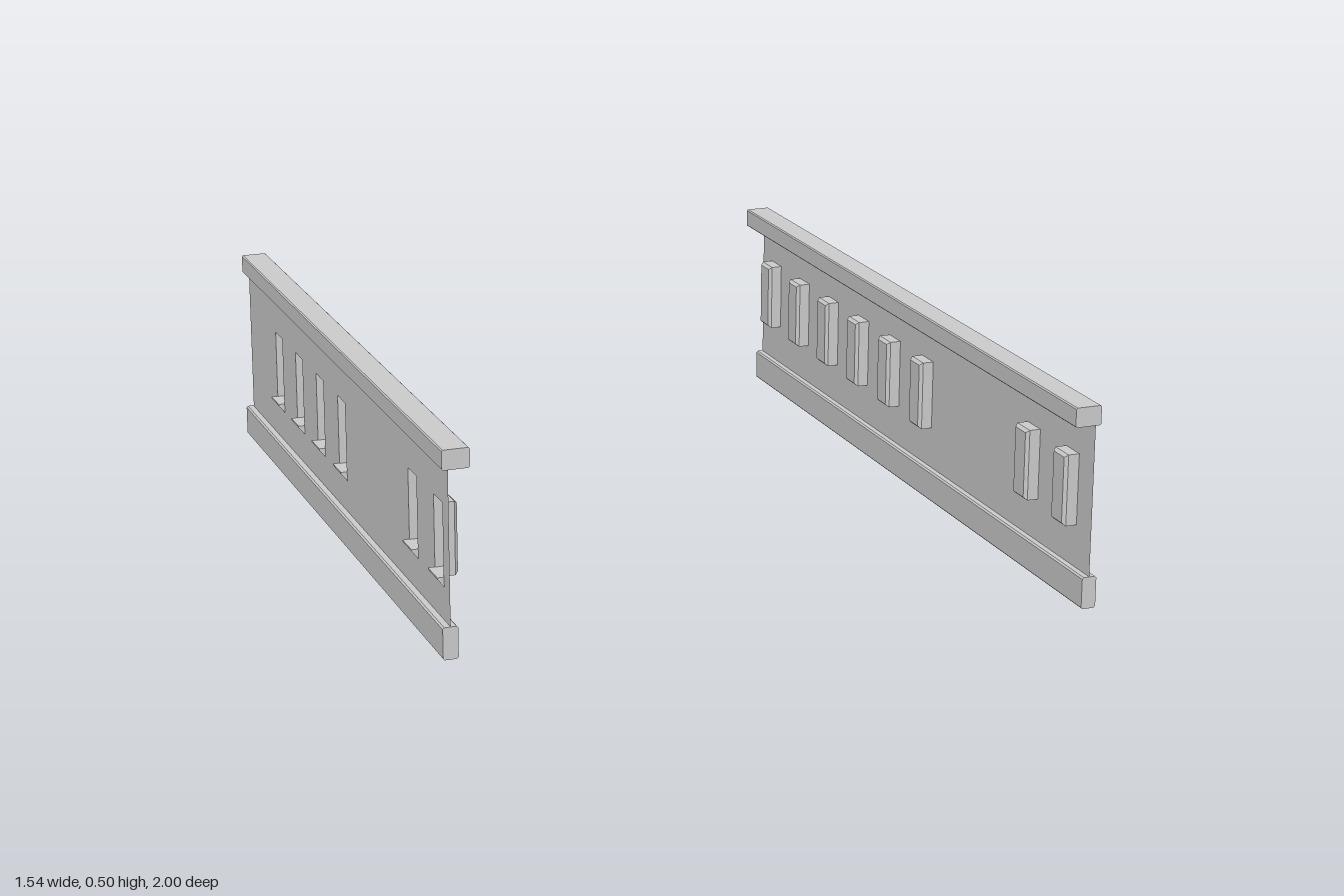
import * as THREE from 'three';

const grey = new THREE.MeshStandardMaterial({ color: 0xcccccc, flatShading: true });
const sheet = new THREE.MeshStandardMaterial({ color: 0xcccccc, flatShading: true, side: THREE.DoubleSide });

const WEB_X = 0.749;
const SLOT = { half: 0.033, y0: 0.184, y1: 0.361 };

function add(group, name, geometry, material) {
  const mesh = new THREE.Mesh(geometry, material);
  mesh.name = name;
  group.add(mesh);
}

// Extrude an (x, y) outline from z0 to z1
function bar(points, z0, z1) {
  const shape = new THREE.Shape(points.map(([x, y]) => new THREE.Vector2(x, y)));
  return new THREE.ExtrudeGeometry(shape, { depth: z1 - z0, bevelEnabled: false }).translate(0, 0, z0);
}

// Rectangle outline with small cut corners, on the given side
function cutRect(side, x0, x1, y0, y1, c) {
  return [[x0 + c, y0], [x1 - c, y0], [x1, y0 + c], [x1, y1 - c],
    [x1 - c, y1], [x0 + c, y1], [x0, y1 - c], [x0, y0 + c]].map(([x, y]) => [x * side, y]);
}

// Thin sheet with a rectangular hole for every slot
function webGeometry(side, z0, z1, slots) {
  const rect = (C, a, b, c, d) => new C([[a, c], [b, c], [b, d], [a, d]].map(p => new THREE.Vector2(...p)));
  const shape = rect(THREE.Shape, z0, z1, 0.06, 0.47);
  for (const z of slots) {
    shape.holes.push(rect(THREE.Path, z - SLOT.half, z + SLOT.half, SLOT.y0, SLOT.y1));
  }
  return new THREE.ShapeGeometry(shape).rotateY(-Math.PI / 2).translate(WEB_X * side, 0, 0);
}

// Tray pressed inwards, open to the outside, with a bevelled floor
function pocketGeometry(side, z) {
  const ring = (x, inset) => {
    const a = z - SLOT.half + inset, b = z + SLOT.half - inset;
    const c = SLOT.y0 + inset, d = SLOT.y1 - inset;
    return [[a, c], [b, c], [b, d], [a, d]].map(([pz, py]) => [x * side, py, pz]);
  };
  const rings = [ring(WEB_X, 0), ring(0.721, 0), ring(0.713, 0.007)];
  const pos = [];
  const quad = (a, b, c, d) => {
    const order = side > 0 ? [a, b, c, a, c, d] : [a, c, b, a, d, c];
    order.forEach(p => pos.push(...p));
  };
  for (let r = 0; r < 2; r++) {
    for (let i = 0; i < 4; i++) {
      const j = (i + 1) % 4;
      quad(rings[r][i], rings[r + 1][i], rings[r + 1][j], rings[r][j]);
    }
  }
  quad(...rings[2]);
  const geometry = new THREE.BufferGeometry();
  geometry.setAttribute('position', new THREE.Float32BufferAttribute(pos, 3));
  geometry.computeVertexNormals();
  return geometry;
}

// One side panel: two rails, the web and its slots
function panel(name, side, front, backs, slots) {
  const group = new THREE.Group();
  group.name = name;
  add(group, 'topRail', bar(cutRect(side, 0.697, 0.763, 0.452, 0.5, 0.003), backs.top, front), grey);
  add(group, 'bottomRail', bar(cutRect(side, 0.731, 0.768, 0, 0.079, 0.004), backs.bottom, front), grey);
  add(group, 'web', webGeometry(side, backs.web, front, slots), sheet);
  for (const z of slots) {
    add(group, 'slotPocket', pocketGeometry(side, z), sheet);
    // Wedge-shaped shelf under the slot
    const wedge = [[WEB_X, 0.16], [WEB_X + 0.016, 0.18], [WEB_X + 0.016, 0.184], [WEB_X, 0.184]];
    add(group, 'slotLip', bar(wedge.map(([x, y]) => [x * side, y]), z - 0.036, z + 0.036), grey);
  }
  return group;
}

export function createModel() {
  const model = new THREE.Group();
  model.name = 'sidePanels';
  // Evenly pitched slots with two places left blank
  const slots = [0, 1, 4, 5, 6, 7, 8, 9].map(i => 0.894 - i * 0.1975);
  const shortSlots = [1, 2, 5, 6, 7, 8].map(i => 0.894 - i * 0.1975);
  model.add(panel('leftPanel', 1, 1, { top: -0.98, web: -0.978, bottom: -0.98 }, slots));
  model.add(panel('rightPanel', -1, 0.775, { top: -1, web: -0.985, bottom: -0.99 }, shortSlots));
  return model;
}
